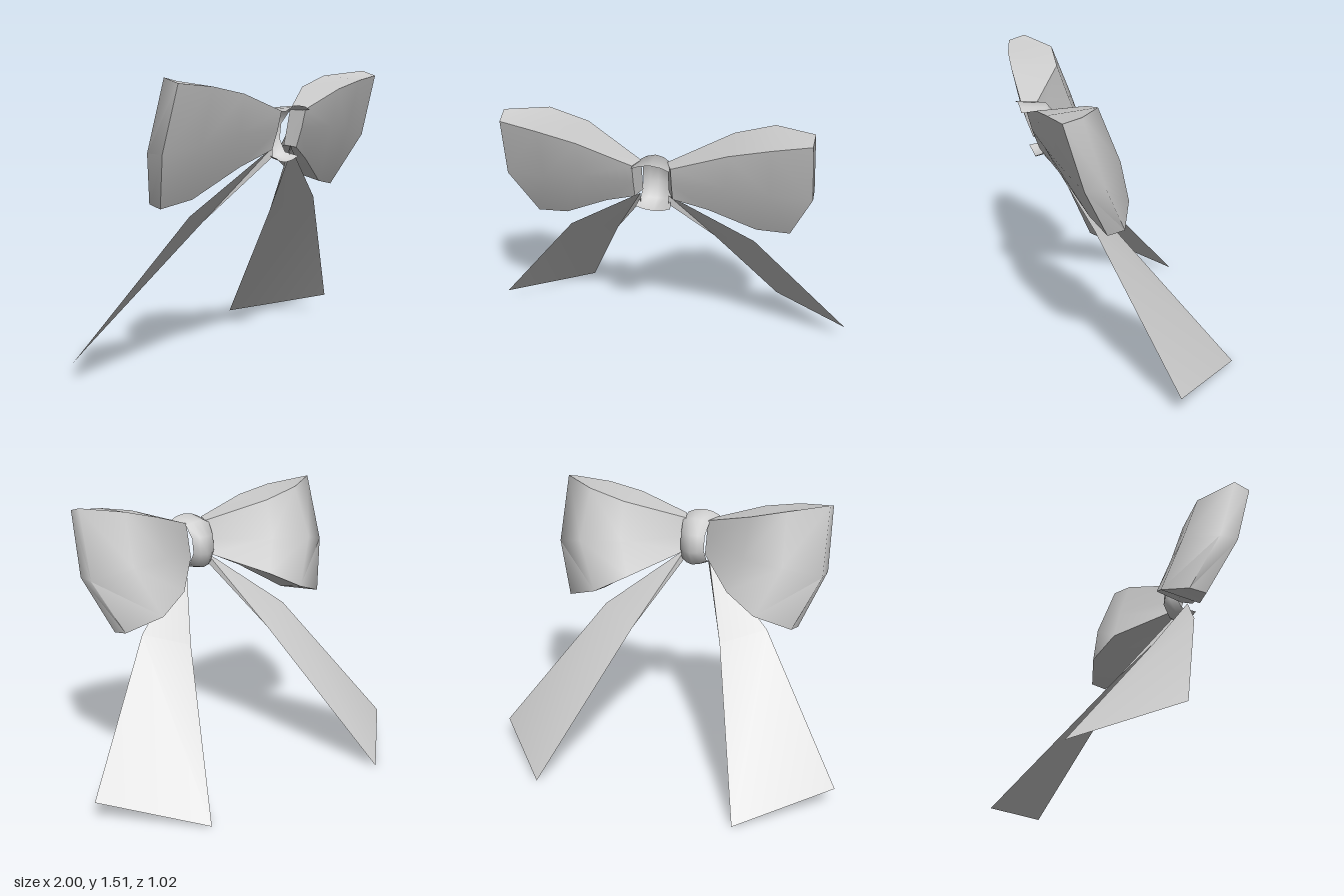
import * as THREE from 'three';
import { toCreasedNormals } from 'three/addons/utils/BufferGeometryUtils.js';

// Rows of points joined into a smooth skin; "closed" joins the last point of each row to the first.
// side = -1 mirrors the skin across x and keeps the faces outward.
function skin(rows, side = 1, closed = false, crease = 1.2) {
  const n = rows[0].length;
  const pos = rows.flat().flatMap(([x, y, z]) => [x * side, y, z]);
  const index = [];
  for (let r = 0; r < rows.length - 1; r++) {
    for (let i = 0; i < (closed ? n : n - 1); i++) {
      const j = (i + 1) % n;
      const a = r * n + i, b = r * n + j, c = a + n, d = b + n;
      const tris = [[a, c, d], [a, d, b]];
      for (const t of tris) index.push(...(side > 0 ? t : t.reverse()));
    }
  }
  const g = new THREE.BufferGeometry();
  g.setAttribute('position', new THREE.Float32BufferAttribute(pos, 3));
  g.setIndex(index);
  g.computeVertexNormals();
  return toCreasedNormals(g, crease);
}

export function createModel() {
  const model = new THREE.Group();
  model.name = 'ribbonBow';
  const ribbon = new THREE.MeshStandardMaterial({ color: 0xcccccc, side: THREE.DoubleSide });
  ribbon.name = 'greyRibbon';
  const add = (name, geometry, parent = model) => {
    const mesh = new THREE.Mesh(geometry, ribbon);
    mesh.name = name;
    parent.add(mesh);
  };

  // Loop cross-sections: inner front, out along the front, back along the rear
  const top = [[0.095, 1.33, 0.48], [0.37, 1.425, 0.48], [0.57, 1.465, 0.467], [0.765, 1.485, 0.43],
    [0.77, 1.51, 0.34], [0.57, 1.485, 0.22], [0.37, 1.43, 0.23], [0.065, 1.325, 0.40]];
  const middle = [[0.095, 1.23, 0.455], [0.36, 1.23, 0.44], [0.57, 1.18, 0.385], [0.78, 1.15, 0.335],
    [0.78, 1.15, 0.23], [0.59, 1.21, 0.115], [0.36, 1.22, 0.16], [0.065, 1.23, 0.38]];
  const bottom = [[0.095, 1.13, 0.42], [0.26, 1.05, 0.35], [0.5, 0.90, 0.25], [0.67, 0.865, 0.20],
    [0.66, 0.88, 0.11], [0.47, 0.95, 0.04], [0.295, 1.04, 0.10], [0.065, 1.14, 0.36]];
  const frontHalf = (ring) => ring.slice(0, 4);
  const rearHalf = (ring) => ring.slice(4).reverse();

  // Tail edges from the knot to the tip
  const outerEdge = [[0.07, 1.14, 0.40], [0.49, 0.81, 0.22], [1.0, 0.10, -0.09]];
  const innerEdge = [[0.07, 1.09, 0.40], [0.265, 0.74, 0.09], [0.575, 0.003, -0.51]];

  for (const [label, side] of [['left', 1], ['right', -1]]) {
    const loop = new THREE.Group();
    loop.name = label + 'Loop';
    add(label + 'LoopWall', skin([top, middle, bottom], side, true), loop);
    add(label + 'LoopTop', skin([rearHalf(top), frontHalf(top)], side), loop);
    add(label + 'LoopBottom', skin([frontHalf(bottom), rearHalf(bottom)], side), loop);
    model.add(loop);
    add(label + 'Tail', skin([outerEdge, innerEdge], side));
  }

  // Knot: a band wrapped over the top, rear and bottom, fuller along its middle
  const wrap = [[1.355, 0.51], [1.34, 0.36], [1.26, 0.30], [1.16, 0.29], [1.08, 0.33], [1.06, 0.43]];
  const knotRows = [-1, -0.55, 0, 0.55, 1].map((t) => wrap.map(([y, z]) => {
    const shrink = 1 - 0.18 * t * t;
    const halfWidth = 0.07 + 0.025 * THREE.MathUtils.clamp((z - 0.29) / 0.2, 0, 1);
    return [t * halfWidth, 1.208 + (y - 1.208) * shrink, 0.5 + (z - 0.5) * shrink];
  }));
  add('knot', skin(knotRows.reverse()));

  return model;
}
